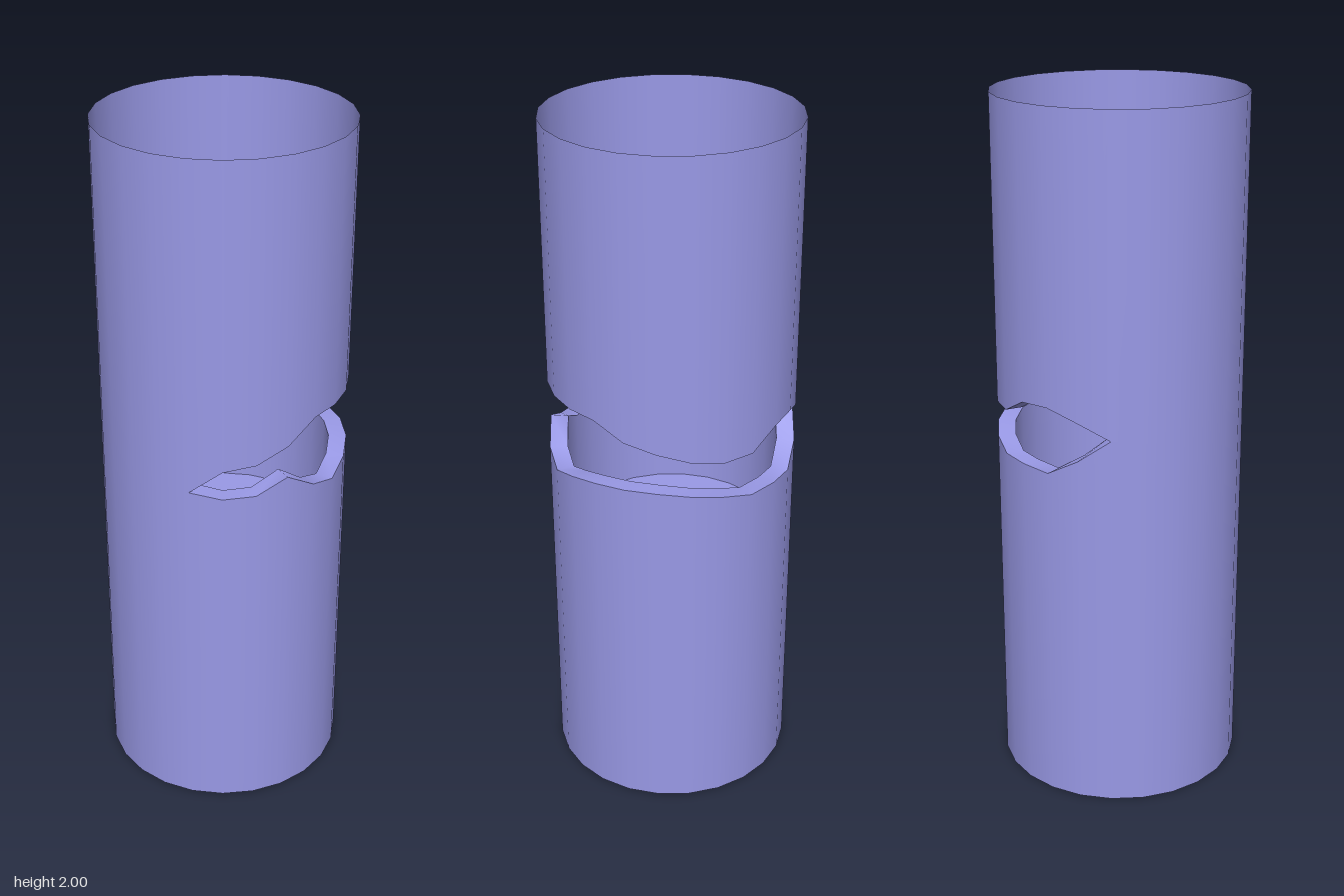
import * as THREE from 'three';

const OUTER = 0.353, INNER = 0.302;
const SIDES = 24, GAP = 16; // the crack spans 16 of the 24 sides
const START = -Math.PI / 6, STEP = Math.PI / 12;

// Heights of the crack's two edges, from the front tip round +x to the back tip
const lowerEdge = [1.06, 1.045, 1.05, 1.09, 1.035, 1.01, 1.035, 1.05, 1.055, 1.055, 1.045, 1.03, 1.01, 1.01, 1.005, 1.055, 1.12];
const upperEdge = [1.06, 1.13, 1.145, 1.185, 1.245, 1.245, 1.245, 1.245, 1.2, 1.175, 1.15, 1.135, 1.14, 1.19, 1.195, 1.165, 1.12];

// Edge height at column i; the unbroken side joins the two tips
const along = (edge) => (i) =>
  i <= GAP ? edge[i] : THREE.MathUtils.lerp(edge[GAP], edge[0], (i - GAP) / (SIDES - GAP));
const level = (y) => () => y;

// Open cylinder whose top and bottom rows follow two height rules
function band(rTop, rBottom, top, bottom, sides = SIDES) {
  const g = new THREE.CylinderGeometry(rTop, rBottom, 1, sides, 1, true, START, sides * STEP);
  const p = g.attributes.position;
  for (let i = 0; i <= sides; i++) {
    p.setY(i, top(i));
    p.setY(i + sides + 1, bottom(i));
  }
  return g;
}

// Broken wall thickness along one edge of the crack
function rim(rTop, rBottom, edge) {
  const g = band(rTop, rBottom, along(edge), along(edge), GAP);
  g.computeVertexNormals();
  return g;
}

export function createModel() {
  const group = new THREE.Group();
  const material = new THREE.MeshStandardMaterial({ color: 0x9999e6, side: THREE.DoubleSide });
  const add = (name, geometry) => {
    const mesh = new THREE.Mesh(geometry, material);
    mesh.name = name;
    group.add(mesh);
    return mesh;
  };

  const low = along(lowerEdge), high = along(upperEdge);
  const floorY = 0.74, ceilingY = 1.34;

  // Outer tube, open at both ends
  add('lowerOuterWall', band(OUTER, OUTER, low, level(0)));
  add('upperOuterWall', band(OUTER, OUTER, level(2), high));

  // Closed chamber behind the crack
  add('lowerInnerWall', band(INNER, INNER, low, level(floorY)));
  add('upperInnerWall', band(INNER, INNER, level(ceilingY), high));
  const floor = add('chamberFloor', new THREE.CircleGeometry(INNER, SIDES));
  floor.rotation.x = -Math.PI / 2;
  floor.position.y = floorY;
  const ceiling = add('chamberCeiling', new THREE.CircleGeometry(INNER, SIDES));
  ceiling.rotation.x = Math.PI / 2;
  ceiling.position.y = ceilingY;

  // Jagged edges of the crack
  add('lowerCrackRim', rim(INNER, OUTER, lowerEdge));
  add('upperCrackRim', rim(OUTER, INNER, upperEdge));

  return group;
}
